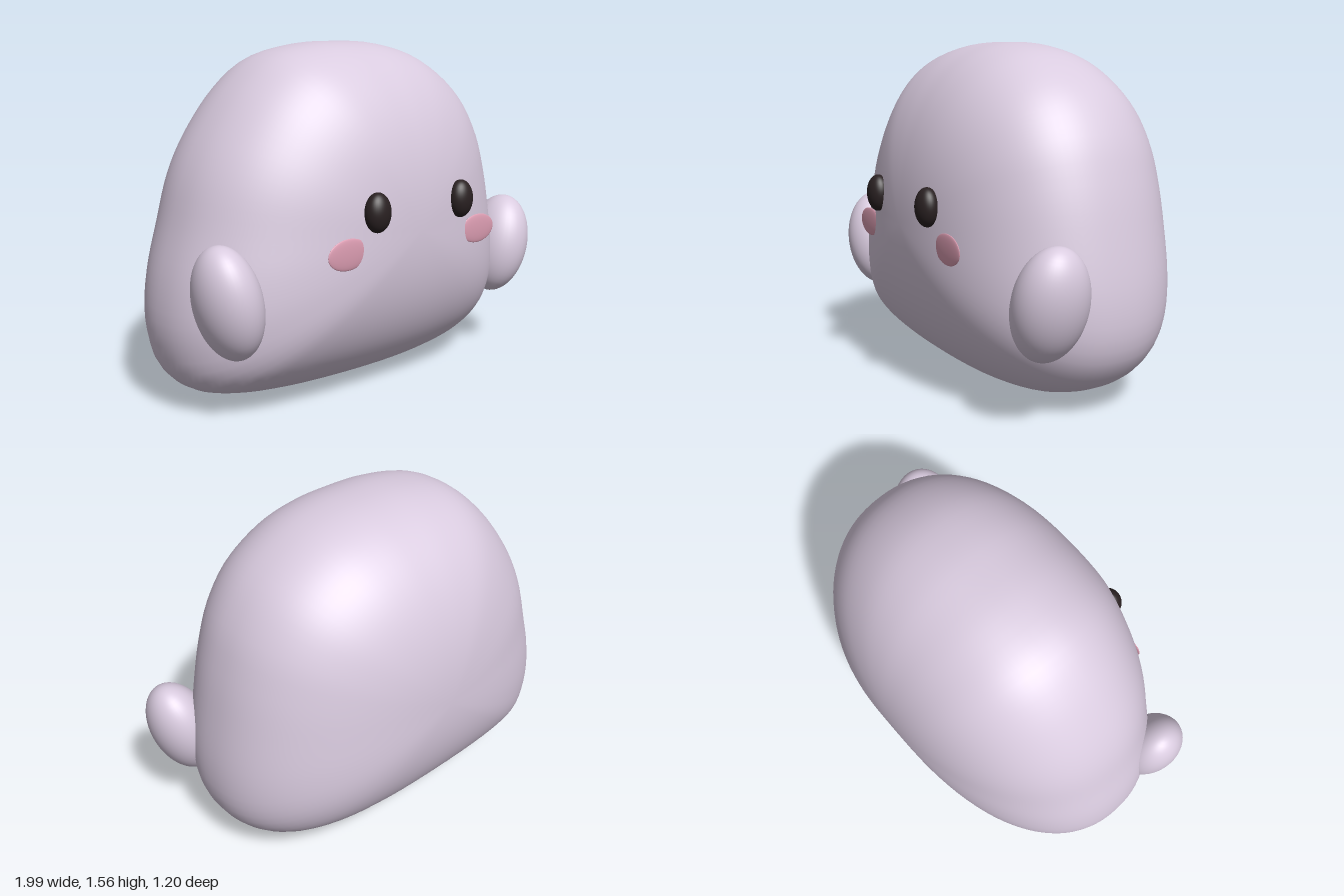
import * as THREE from 'three';

// Closed front outline of the body (x, y), counter-clockwise from the bottom
const OUTLINE = [
  [0, 0.1], [0.33, 0.112], [0.6, 0.155], [0.76, 0.225], [0.85, 0.32], [0.89, 0.43],
  [0.895, 0.6], [0.85, 0.88], [0.8, 1.09], [0.73, 1.28], [0.6, 1.46], [0.38, 1.6],
  [0.17, 1.652], [0, 1.66], [-0.2, 1.652], [-0.42, 1.6], [-0.58, 1.48], [-0.74, 1.28],
  [-0.83, 1.11], [-0.9, 0.88], [-0.96, 0.66], [-0.98, 0.48], [-0.965, 0.36], [-0.935, 0.27],
  [-0.87, 0.2], [-0.74, 0.155], [-0.47, 0.118],
];
const CENTRE_Y = 0.85, FRONT = 0.565, BACK = 0.6, POWER = 2 / 2.2;

// Outline rings shrinking along a rounded profile towards front and back
function bodyGeometry() {
  const curve = new THREE.CatmullRomCurve3(
    OUTLINE.map(([x, y]) => new THREE.Vector3(x, y - CENTRE_Y, 0)), true);
  const N = 108, RINGS = 56;
  const outline = curve.getSpacedPoints(N).slice(0, N);
  const pos = [0, CENTRE_Y, FRONT], index = [];
  for (let r = 1; r < RINGS; r++) {
    const a = (r / RINGS) * Math.PI, c = Math.cos(a);
    const s = Math.pow(Math.sin(a), POWER);
    const z = Math.sign(c) * Math.pow(Math.abs(c), POWER) * (c > 0 ? FRONT : BACK);
    for (const p of outline) pos.push(p.x * s, CENTRE_Y + p.y * s, z);
  }
  pos.push(0, CENTRE_Y, -BACK);
  const last = pos.length / 3 - 1;
  const id = (r, i) => 1 + (r - 1) * N + (i % N);
  for (let i = 0; i < N; i++) {
    index.push(0, id(1, i), id(1, i + 1));
    for (let r = 1; r < RINGS - 1; r++) {
      index.push(id(r, i), id(r + 1, i), id(r + 1, i + 1));
      index.push(id(r, i), id(r + 1, i + 1), id(r, i + 1));
    }
    index.push(id(RINGS - 1, i), last, id(RINGS - 1, i + 1));
  }
  const g = new THREE.BufferGeometry();
  g.setAttribute('position', new THREE.Float32BufferAttribute(pos, 3));
  g.setIndex(index);
  g.computeVertexNormals();
  return g;
}

export function createModel() {
  const model = new THREE.Group();
  model.name = 'roundCreature';
  const material = (name, color) => {
    const m = new THREE.MeshStandardMaterial({ color });
    m.name = name;
    return m;
  };
  const skin = material('pale lilac', 0xd9cbdf);
  const black = material('eye black', 0x2a2122);
  const pink = material('cheek pink', 0xdc9db2);

  const body = new THREE.Mesh(bodyGeometry(), skin);
  body.name = 'body';
  model.add(body);

  const ball = new THREE.SphereGeometry(1, 40, 28);
  const ellipsoid = (name, mat, position, radii, tilt = 0) => {
    const m = new THREE.Mesh(ball, mat);
    m.name = name;
    m.position.set(...position);
    m.scale.set(...radii);
    m.rotation.z = THREE.MathUtils.degToRad(tilt);
    model.add(m);
  };

  // Arms, tops leaning outwards
  ellipsoid('leftArm', skin, [0.843, 0.63, 0.303], [0.14, 0.25, 0.165], -16);
  ellipsoid('rightArm', skin, [-0.857, 0.63, 0.303], [0.135, 0.248, 0.165], 12);

  // Face
  for (const [side, s] of [['left', 1], ['right', -1]]) {
    ellipsoid(side + 'Eye', black, [s * 0.262, 0.96, 0.551], [0.063, 0.086, 0.052]);
    ellipsoid(side + 'Cheek', pink, [s * 0.41, 0.8, 0.532], [0.112, 0.067, 0.01]);
  }
  return model;
}
